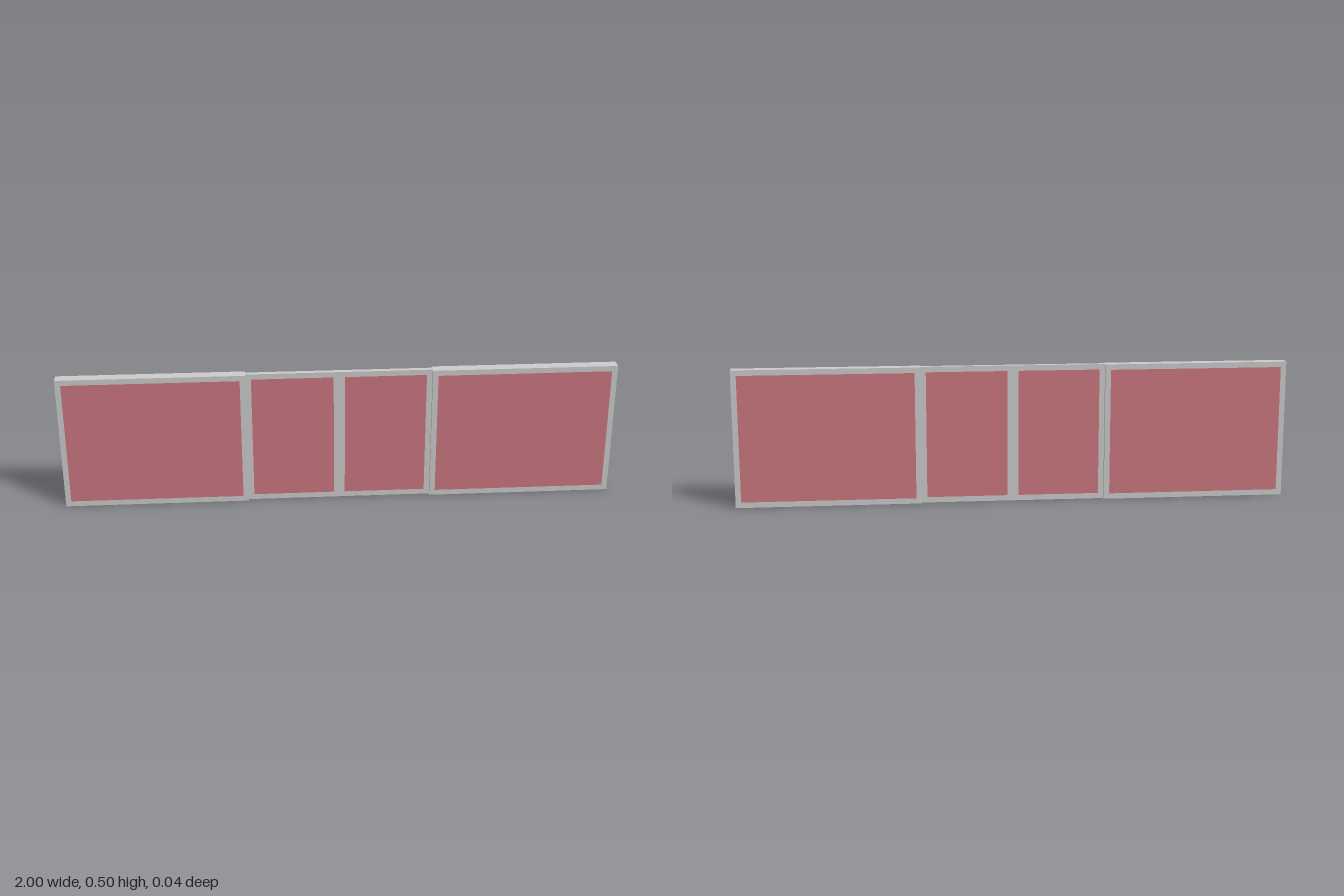
import * as THREE from 'three';

const HEIGHT = 0.5;   // overall height
const RIM = 0.02;     // visible width of a frame member
const EDGE = 1 / 3;   // where the side panels meet the centre section

const frameMaterial = new THREE.MeshStandardMaterial({ color: 0xcccccc });
frameMaterial.name = 'light grey frame';
const paneMaterial = new THREE.MeshStandardMaterial({ color: 0xcc7780 });
paneMaterial.name = 'rose pane';

// Rectangle outline, used for both frames and their openings
function rectangle(Type, x0, x1, y0, y1) {
  const r = new Type();
  r.moveTo(x0, y0);
  r.lineTo(x1, y0);
  r.lineTo(x1, y1);
  r.lineTo(x0, y1);
  r.closePath();
  return r;
}

// A frame from x0 to x1 with panes set flush into its openings
function framedSection(name, x0, x1, depth, openings) {
  const section = new THREE.Group();
  section.name = name;
  const shape = rectangle(THREE.Shape, x0, x1, 0, HEIGHT);
  for (const [a, b] of openings) {
    shape.holes.push(rectangle(THREE.Path, a, b, RIM, HEIGHT - RIM));
    const pane = new THREE.Mesh(new THREE.BoxGeometry(b - a, HEIGHT - 2 * RIM, depth), paneMaterial);
    pane.position.set((a + b) / 2, HEIGHT / 2, 0);
    pane.name = 'pane';
    section.add(pane);
  }
  const geometry = new THREE.ExtrudeGeometry(shape, { depth, bevelEnabled: false });
  geometry.translate(0, 0, -depth / 2);
  const frame = new THREE.Mesh(geometry, frameMaterial);
  frame.name = 'frame';
  section.add(frame);
  return section;
}

export function createModel() {
  const model = new THREE.Group();
  model.name = 'slidingWindow';

  // Thick single-pane panels at both ends
  model.add(framedSection('rightPanel', -1, -EDGE, 0.04, [[-1 + RIM, -EDGE - RIM]]));
  model.add(framedSection('leftPanel', EDGE, 1, 0.04, [[EDGE + RIM, 1 - RIM]]));

  // Thinner centre section with two panes and a double-width mullion
  model.add(framedSection('centreSection', -EDGE, EDGE, 0.018, [
    [-EDGE + RIM, -RIM],
    [RIM, EDGE - RIM],
  ]));
  return model;
}
